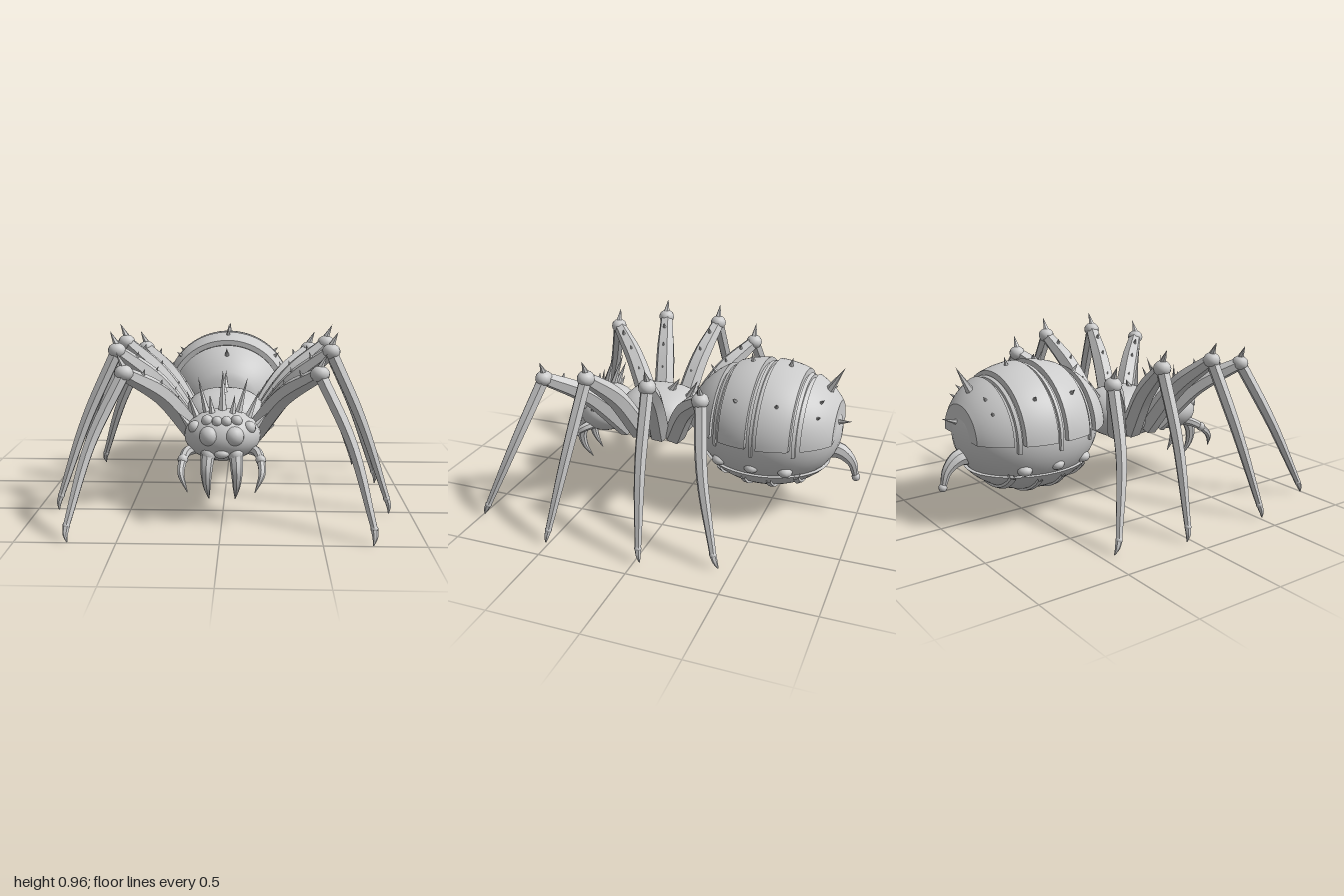
import * as THREE from 'three';
import { toCreasedNormals } from 'three/addons/utils/BufferGeometryUtils.js';

const V = (x, y, z) => new THREE.Vector3(x, y, z);

export function createModel() {
  const root = new THREE.Group();
  root.name = 'spider';
  const shellGrey = new THREE.MeshStandardMaterial({ color: 0xcccccc, side: THREE.DoubleSide });
  shellGrey.name = 'shell grey';

  const add = (name, geo, parent = root) => {
    const m = new THREE.Mesh(geo, shellGrey);
    m.name = name;
    parent.add(m);
    return m;
  };
  const group = (name) => {
    const g = new THREE.Group();
    g.name = name;
    root.add(g);
    return g;
  };
  const ball = (name, p, rx, ry, rz, parent, seg = 20) => {
    const m = add(name, new THREE.SphereGeometry(1, seg, Math.round(seg * 0.7)), parent);
    m.scale.set(rx, ry, rz);
    m.position.copy(p);
  };
  // Straight thorn between two points
  const spike = (name, from, to, r, parent = root) => {
    const dir = to.clone().sub(from);
    const geo = toCreasedNormals(new THREE.ConeGeometry(r, dir.length(), 6), 0.6);
    const m = add(name, geo, parent);
    m.position.copy(from).addScaledVector(dir, 0.5);
    m.quaternion.setFromUnitVectors(V(0, 1, 0), dir.normalize());
  };
  // Curved limb whose radius follows a list of values along its length
  const limb = (name, pts, radii, sides, parent) => {
    const path = new THREE.CatmullRomCurve3(pts);
    const n = 16;
    const geo = new THREE.TubeGeometry(path, n, 1, sides);
    const pos = geo.attributes.position, v = V(0, 0, 0);
    for (let i = 0; i <= n; i++) {
      const c = path.getPointAt(i / n);
      const f = (i / n) * (radii.length - 1), k = Math.min(Math.floor(f), radii.length - 2);
      const r = THREE.MathUtils.lerp(radii[k], radii[k + 1], f - k);
      for (let j = 0; j <= sides; j++) {
        const id = i * (sides + 1) + j;
        v.fromBufferAttribute(pos, id).sub(c).multiplyScalar(r).add(c);
        pos.setXYZ(id, v.x, v.y, v.z);
      }
    }
    add(name, toCreasedNormals(geo, 0.6), parent);
  };

  // Abdomen core
  const C = V(0, 0.5, -0.46), R = V(0.358, 0.335, 0.42);
  const abdomen = group('abdomen');
  ball('abdomenCore', C, R.x, R.y, R.z, abdomen, 40);

  // Curved armour band around the z axis, lifted above the core
  const band = (name, z0, z1, lift, phi, len) => {
    const k = 1 + lift / R.y, pts = [];
    const rad = (z, s) => Math.sqrt(Math.max(0, 1 - ((z - C.z) / (R.z * s)) ** 2)) * s;
    pts.push(new THREE.Vector2(rad(z0, 1) * 0.97, z0));
    for (let i = 0; i <= 8; i++) {
      const z = z0 + (z1 - z0) * i / 8;
      pts.push(new THREE.Vector2(rad(z, k), z));
    }
    pts.push(new THREE.Vector2(rad(z1, 1) * 0.97, z1));
    const geo = new THREE.LatheGeometry(pts, 40, phi, len);
    geo.rotateX(Math.PI / 2).scale(R.x, R.y, 1).translate(0, C.y, 0);
    add(name, toCreasedNormals(geo, 0.6), abdomen);
  };
  const H = Math.PI / 2;
  [[-0.86, -0.715], [-0.66, -0.49], [-0.43, -0.27], [-0.215, -0.035]].forEach(([a, b]) =>
    band('backPlate', a, b, 0.03, H, Math.PI));
  [-0.24, -0.457, -0.68].forEach((z) =>
    band('backRidge', z - 0.009, z + 0.009, 0.014, H - 0.15, Math.PI + 0.3));

  // Belly shield with cross ridges
  const belly = [], top = -0.58, s = 1.04;
  for (let i = 0; i <= 10; i++) {
    const y = -s + (top + s) * (i / 10) ** 2;
    belly.push(new THREE.Vector2(Math.sqrt(Math.max(0, s * s - y * y)), y));
  }
  belly.push(new THREE.Vector2(0.78, top + 0.02));
  const bellyGeo = new THREE.LatheGeometry(belly, 40);
  bellyGeo.scale(R.x, R.y, R.z).translate(C.x, C.y, C.z);
  add('bellyShield', toCreasedNormals(bellyGeo, 0.6), abdomen);
  [-0.25, -0.4, -0.545, -0.69].forEach((z) => band('bellyRidge', z - 0.012, z + 0.012, 0.025, -0.88, 1.76));

  // Breathing bumps low on the flanks
  for (const sx of [1, -1]) {
    [[0.25, -0.25, 0.345], [0.3, -0.45, 0.355], [0.27, -0.63, 0.345]].forEach(([x, z, y]) =>
      ball('flankBump', V(sx * x, y, z), 0.045, 0.032, 0.042, abdomen, 12));
  }

  // Abdomen thorns grow outward from the shell at a given x and z
  const thorn = (x, z, len, r = 0.022) => {
    const nx = x / R.x, nz = (z - C.z) / R.z;
    const ny = Math.sqrt(Math.max(0.02, 1.1 - nx * nx - nz * nz));
    const from = V(x, C.y + ny * R.y, z);
    const dir = V(nx / R.x, ny / R.y, nz / R.z).normalize();
    spike('backThorn', from.clone().addScaledVector(dir, -0.02), from.addScaledVector(dir, len), r, abdomen);
  };
  thorn(0, -0.15, 0.07);
  thorn(0, -0.36, 0.06);
  thorn(0, -0.57, 0.06);
  spike('rearThorn', V(0, 0.72, -0.78), V(0, 0.88, -0.87), 0.028, abdomen);
  spike('tailThorn', V(0.03, 0.57, -0.84), V(0.06, 0.6, -0.94), 0.02, abdomen);
  for (const sx of [1, -1]) {
    thorn(sx * 0.28, -0.35, 0.05);
    thorn(sx * 0.28, -0.57, 0.05);
    thorn(sx * 0.14, -0.77, 0.05, 0.018);
    thorn(sx * 0.21, -0.77, 0.05, 0.018);
  }

  // Hooked tail with a bulb at the end
  limb('tail', [V(0, 0.39, -0.8), V(0, 0.385, -0.88), V(0, 0.33, -0.945), V(0, 0.24, -0.975)],
    [0.055, 0.045, 0.028, 0.016], 8, abdomen);
  ball('tailBulb', V(0, 0.24, -0.976), 0.024, 0.024, 0.024, abdomen, 12);

  // Thorax: a sphere squared off in plan
  const thorax = new THREE.SphereGeometry(1, 32, 20), tp = thorax.attributes.position;
  const square = (a, e) => Math.sign(a) * Math.abs(a) ** e;
  for (let i = 0; i < tp.count; i++) {
    tp.setXYZ(i, square(tp.getX(i), 0.78) * 0.225, tp.getY(i) * 0.145, square(tp.getZ(i), 0.75) * 0.235);
  }
  thorax.computeVertexNormals();
  add('thorax', thorax).position.set(0, 0.475, 0.205);
  spike('thoraxThorn', V(0, 0.6, 0.27), V(0, 0.66, 0.24), 0.024);
  spike('thoraxThorn', V(0, 0.6, 0.14), V(0, 0.69, 0.08), 0.026);
  spike('thoraxThorn', V(0, 0.56, 0.04), V(0, 0.69, -0.03), 0.024);

  // Head
  const head = group('head');
  ball('skull', V(0, 0.445, 0.55), 0.2, 0.135, 0.165, head, 32);
  spike('crownThorn', V(0, 0.56, 0.56), V(0, 0.78, 0.5), 0.027, head);
  ball('mouth', V(0, 0.375, 0.685), 0.04, 0.025, 0.03, head, 12);
  for (const sx of [1, -1]) {
    // Eyes: one large pair ringed by smaller ones
    [[0.063, 0.465, 0.675, 0.052], [0.024, 0.54, 0.665, 0.027], [0.075, 0.54, 0.645, 0.03],
      [0.14, 0.5, 0.625, 0.034], [0.125, 0.44, 0.65, 0.022]].forEach(([x, y, z, r]) =>
      ball('eye', V(sx * x, y, z), r, r, r, head, 16));
    // Crown and cheek thorns
    [[0.08, 0.55, 0.55, 0.13, 0.74, 0.5], [0.13, 0.53, 0.55, 0.19, 0.67, 0.51],
      [0.17, 0.49, 0.56, 0.235, 0.56, 0.54], [0.05, 0.55, 0.59, 0.065, 0.66, 0.57]].forEach((t) =>
      spike('crownThorn', V(sx * t[0], t[1], t[2]), V(sx * t[3], t[4], t[5]), 0.022, head));
    // Jaws, fangs and feelers
    ball('jaw', V(sx * 0.07, 0.365, 0.655), 0.04, 0.045, 0.045, head, 14);
    limb('fang', [V(sx * 0.072, 0.37, 0.66), V(sx * 0.078, 0.28, 0.695), V(sx * 0.076, 0.2, 0.685), V(sx * 0.068, 0.12, 0.635)],
      [0.036, 0.031, 0.019, 0.002], 8, head);
    limb('feelerBase', [V(sx * 0.13, 0.38, 0.58), V(sx * 0.18, 0.37, 0.62), V(sx * 0.2, 0.34, 0.67)], [0.03, 0.026, 0.022], 7, head);
    ball('feelerJoint', V(sx * 0.2, 0.34, 0.67), 0.027, 0.027, 0.027, head, 12);
    limb('feelerTip', [V(sx * 0.2, 0.34, 0.67), V(sx * 0.205, 0.28, 0.73), V(sx * 0.17, 0.195, 0.765)], [0.022, 0.018, 0.002], 7, head);
  }

  // Legs: hip, knee, foot and sideways bow of the shin, mirrored
  const legs = [
    [V(0.17, 0.41, 0.34), V(0.49, 0.79, 0.69), V(0.74, 0.01, 0.995), V(0.045, 0.015, -0.02)],
    [V(0.18, 0.41, 0.26), V(0.57, 0.86, 0.39), V(0.885, 0.01, 0.52), V(0.025, 0.015, -0.01)],
    [V(0.18, 0.41, 0.14), V(0.57, 0.86, 0.04), V(0.885, 0.01, -0.03), V(0.025, 0.015, 0.01)],
    [V(0.17, 0.41, 0.05), V(0.49, 0.79, -0.22), V(0.795, 0.01, -0.43), V(0.03, 0.015, 0.025)],
  ];
  for (const sx of [1, -1]) {
    legs.forEach((joints) => {
      const leg = group(sx > 0 ? 'leftLeg' : 'rightLeg');
      const [hip, knee, foot, bow] = joints.map((p) => V(p.x * sx, p.y, p.z));
      const mid = hip.clone().lerp(knee, 0.48).add(V(0, 0.055, 0));
      limb('thigh', [hip, mid, knee], [0.062, 0.06, 0.053, 0.038], 6, leg);
      ball('knee', knee, 0.049, 0.043, 0.047, leg, 14);
      spike('kneeThorn', knee.clone().add(V(0, 0.03, 0)), knee.clone().add(V(sx * 0.035, 0.105, 0)), 0.02, leg);
      const shin = knee.clone().lerp(foot, 0.45).add(bow);
      const ankle = knee.clone().lerp(foot, 0.92).addScaledVector(bow, 0.6);
      limb('shin', [knee, shin, ankle], [0.036, 0.034, 0.028, 0.018], 6, leg);
      ball('ankle', ankle, 0.019, 0.019, 0.019, leg, 10);
      limb('claw', [ankle, ankle.clone().lerp(foot, 0.5).add(V(sx * 0.006, 0, 0)), foot], [0.018, 0.014, 0.003], 6, leg);
      // Small bumps along the thigh
      const path = new THREE.CatmullRomCurve3([hip, mid, knee]);
      [0.35, 0.6, 0.82].forEach((t) => {
        const p = path.getPointAt(t);
        spike('thighThorn', p.clone().add(V(-sx * 0.02, 0.03, 0)), p.add(V(-sx * 0.032, 0.062, 0)), 0.012, leg);
      });
    });
  }
  return root;
}
